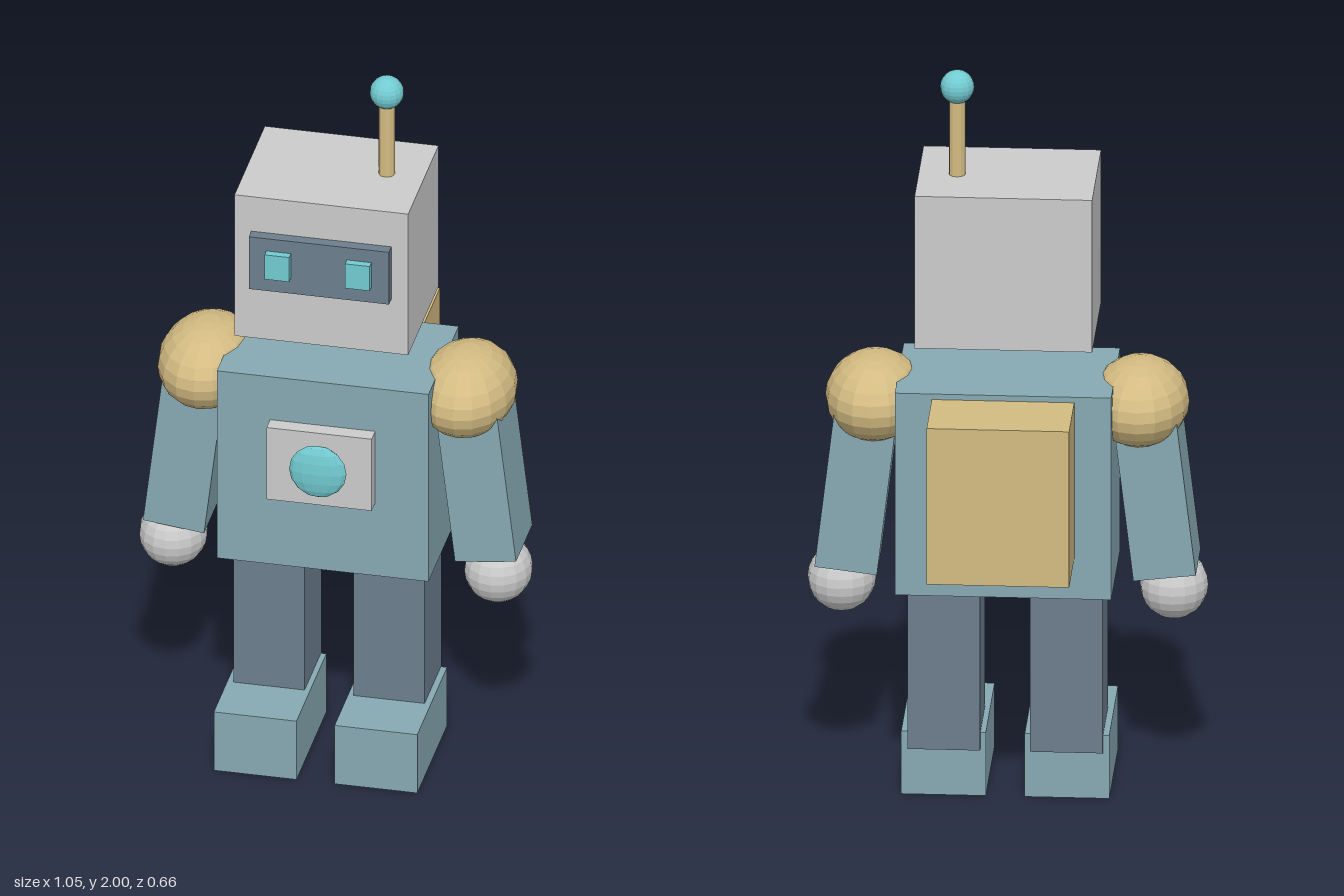
import * as THREE from 'three';

const mat = (color) => new THREE.MeshStandardMaterial({ color, flatShading: true });

export function createModel() {
  const robot = new THREE.Group();
  robot.name = 'robot';
  const grey = mat(0xcccccc), teal = mat(0x87a9b3), slate = mat(0x6d7e8e);
  const gold = mat(0xd3bb82), cyan = mat(0x72cbd1);

  const add = (name, geometry, material, x, y, z) => {
    const mesh = new THREE.Mesh(geometry, material);
    mesh.name = name;
    mesh.position.set(x, y, z);
    robot.add(mesh);
    return mesh;
  };
  const box = (name, material, [w, h, d], [x, y, z]) =>
    add(name, new THREE.BoxGeometry(w, h, d), material, x, y, z);
  // Faceted ellipsoid with its poles up and down
  const ball = (name, material, [rx, ry, rz], [x, y, z], seg = 16, rings = 12) =>
    add(name, new THREE.SphereGeometry(1, seg, rings).scale(rx, ry, rz), material, x, y, z);

  // Head, visor and antenna
  box('head', grey, [0.466, 0.427, 0.366], [0, 1.496, 0.077]);
  box('visor', slate, [0.376, 0.158, 0.06], [0, 1.526, 0.26]);
  add('antennaRod', new THREE.CylinderGeometry(0.022, 0.022, 0.24, 12), gold, 0.132, 1.815, 0.063);
  ball('antennaTip', cyan, [0.045, 0.045, 0.045], [0.132, 1.955, 0.063]);

  // Torso, chest panel with button, and backpack
  box('torso', teal, [0.568, 0.567, 0.364], [0, 0.877, 0.062]);
  box('chestPanel', grey, [0.282, 0.217, 0.06], [0, 0.922, 0.256]);
  ball('chestButton', cyan, [0.077, 0.077, 0.022], [0, 0.925, 0.303], 12, 8);
  box('backpack', gold, [0.374, 0.438, 0.22], [0, 0.926, -0.22]);

  // Mirrored parts
  for (const s of [1, -1]) {
    const side = s > 0 ? 'left' : 'right';
    box(side + 'Eye', cyan, [0.066, 0.074, 0.04], [s * 0.108, 1.531, 0.291]);
    ball(side + 'Shoulder', gold, [0.13, 0.114, 0.179], [s * 0.348, 1.086, 0.062]);

    const arm = box(side + 'Arm', teal, [0.165, 0.45, 0.197], [s * 0.392, 0.848, 0.063]);
    arm.rotation.z = s * 0.118;

    ball(side + 'Hand', grey, [0.09, 0.091, 0.098], [s * 0.436, 0.565, 0.083]);
    box(side + 'Leg', slate, [0.191, 0.434, 0.206], [s * 0.161, 0.347, 0.064]);
    box(side + 'Foot', teal, [0.222, 0.177, 0.36], [s * 0.162, 0.0885, 0.15]);
  }

  return robot;
}
